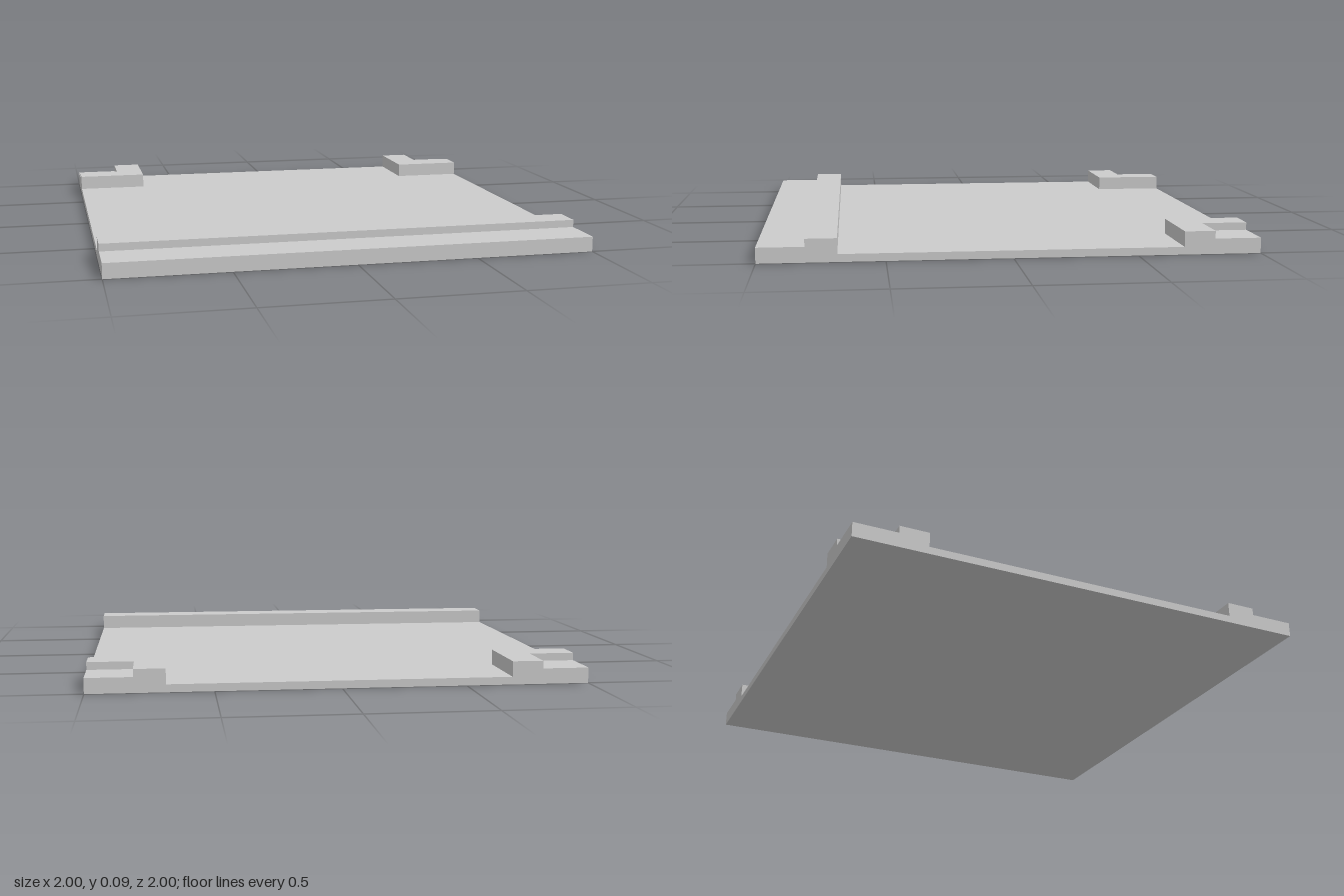
import * as THREE from 'three';

const T = 0.03125;      // thickness of one layer
const INNER = 0.6875;   // inner edge of rail and corner blocks
const STEP = 0.8125;    // edge of the lowered ledge

const material = new THREE.MeshStandardMaterial({ color: 0xcccccc, flatShading: true });

function extrude(points, depth) {
  const shape = new THREE.Shape(points.map(([x, y]) => new THREE.Vector2(x, y)));
  return new THREE.ExtrudeGeometry(shape, { depth, bevelEnabled: false });
}

function addPart(parent, name, geometry) {
  const mesh = new THREE.Mesh(geometry, material);
  mesh.name = name;
  parent.add(mesh);
}

// Flat outline (x, -z) raised from height y by one layer
function layer(points, y) {
  return extrude(points, T).rotateX(-Math.PI / 2).translate(0, y, 0);
}

export function createModel() {
  const model = new THREE.Group();
  model.name = 'steppedTray';

  // Base plate and stepped front rail: one side profile (z, y) swept across x
  const profile = [
    [-1, 0], [1, 0], [1, 2 * T], [STEP, 2 * T],
    [STEP, 3 * T], [INNER, 3 * T], [INNER, T], [-1, T],
  ];
  addPart(model, 'basePlateWithFrontRail',
    extrude(profile, 2).rotateY(-Math.PI / 2).translate(1, 0, 0));

  // Back corner blocks: square pad with an L-shaped lip around a lowered seat
  for (const [side, s] of [['left', 1], ['right', -1]]) {
    const corner = new THREE.Group();
    corner.name = side + 'BackCorner';
    const pad = [[INNER, INNER], [1, INNER], [1, 1], [INNER, 1]];
    const lip = [[INNER, INNER], [1, INNER], [1, STEP], [STEP, STEP], [STEP, 1], [INNER, 1]];
    const mirror = (pts) => pts.map(([x, y]) => [s * x, y]);
    addPart(corner, side + 'CornerPad', layer(mirror(pad), T));
    addPart(corner, side + 'CornerLip', layer(mirror(lip), 2 * T));
    model.add(corner);
  }
  return model;
}
